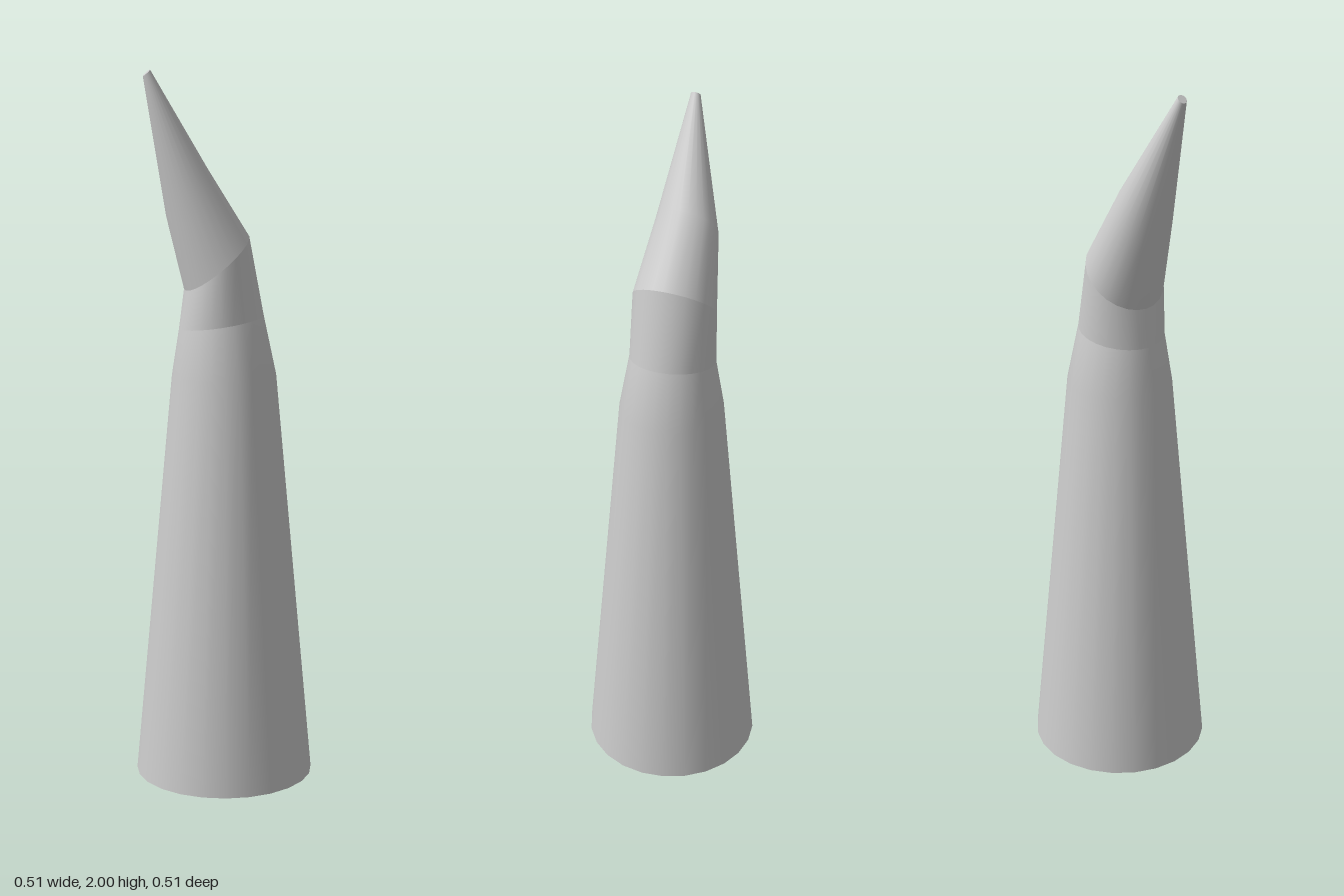
import * as THREE from 'three';

const SIDES = 24;

// Cross-sections along the spike: centre, radius, tilt about z in degrees
const RINGS = [
  { c: [0, 0, 0], r: 0.254, tilt: 0 },
  { c: [0, 1.16, 0], r: 0.147, tilt: 0 },
  { c: [-0.008, 1.31, 0], r: 0.12, tilt: 9 },
  { c: [-0.022, 1.475, 0], r: 0.117, tilt: 40.5 },
  { c: [-0.105, 1.668, -0.004], r: 0.087, tilt: 50 },
  { c: [-0.223, 1.991, 0.018], r: 0.013, tilt: 42 },
];

function ringPoints({ c, r, tilt }) {
  const t = THREE.MathUtils.degToRad(tilt);
  return Array.from({ length: SIDES }, (_, i) => {
    const a = (i / SIDES) * Math.PI * 2;
    const u = r * Math.cos(a);
    return [c[0] + u * Math.cos(t), c[1] + u * Math.sin(t), c[2] + r * Math.sin(a)];
  });
}

function makeMesh(name, points, index, material) {
  const geometry = new THREE.BufferGeometry();
  geometry.setAttribute('position', new THREE.Float32BufferAttribute(points.flat(), 3));
  geometry.setIndex(index);
  geometry.computeVertexNormals();
  const mesh = new THREE.Mesh(geometry, material);
  mesh.name = name;
  return mesh;
}

// Skin over a run of rings, smooth within the run
function skin(name, rings, material) {
  const index = [];
  for (let k = 0; k < rings.length - 1; k++) {
    for (let i = 0; i < SIDES; i++) {
      const j = (i + 1) % SIDES;
      const a = k * SIDES + i, b = k * SIDES + j;
      index.push(a, a + SIDES, b, b, a + SIDES, b + SIDES);
    }
  }
  return makeMesh(name, rings.flatMap(ringPoints), index, material);
}

// Flat disc closing one end
function cap(name, ring, up, material) {
  const index = [];
  for (let i = 0; i < SIDES; i++) {
    const j = (i + 1) % SIDES;
    index.push(SIDES, up ? j : i, up ? i : j);
  }
  return makeMesh(name, [...ringPoints(ring), ring.c], index, material);
}

export function createModel() {
  const group = new THREE.Group();
  group.name = 'bentSpike';
  const material = new THREE.MeshStandardMaterial({ color: 0xcccccc });

  group.add(
    skin('shaft', RINGS.slice(0, 3), material),
    skin('bend', RINGS.slice(2, 4), material),
    skin('hook', RINGS.slice(3, 6), material),
    cap('baseCap', RINGS[0], false, material),
    cap('tipCap', RINGS[5], true, material),
  );
  return group;
}
